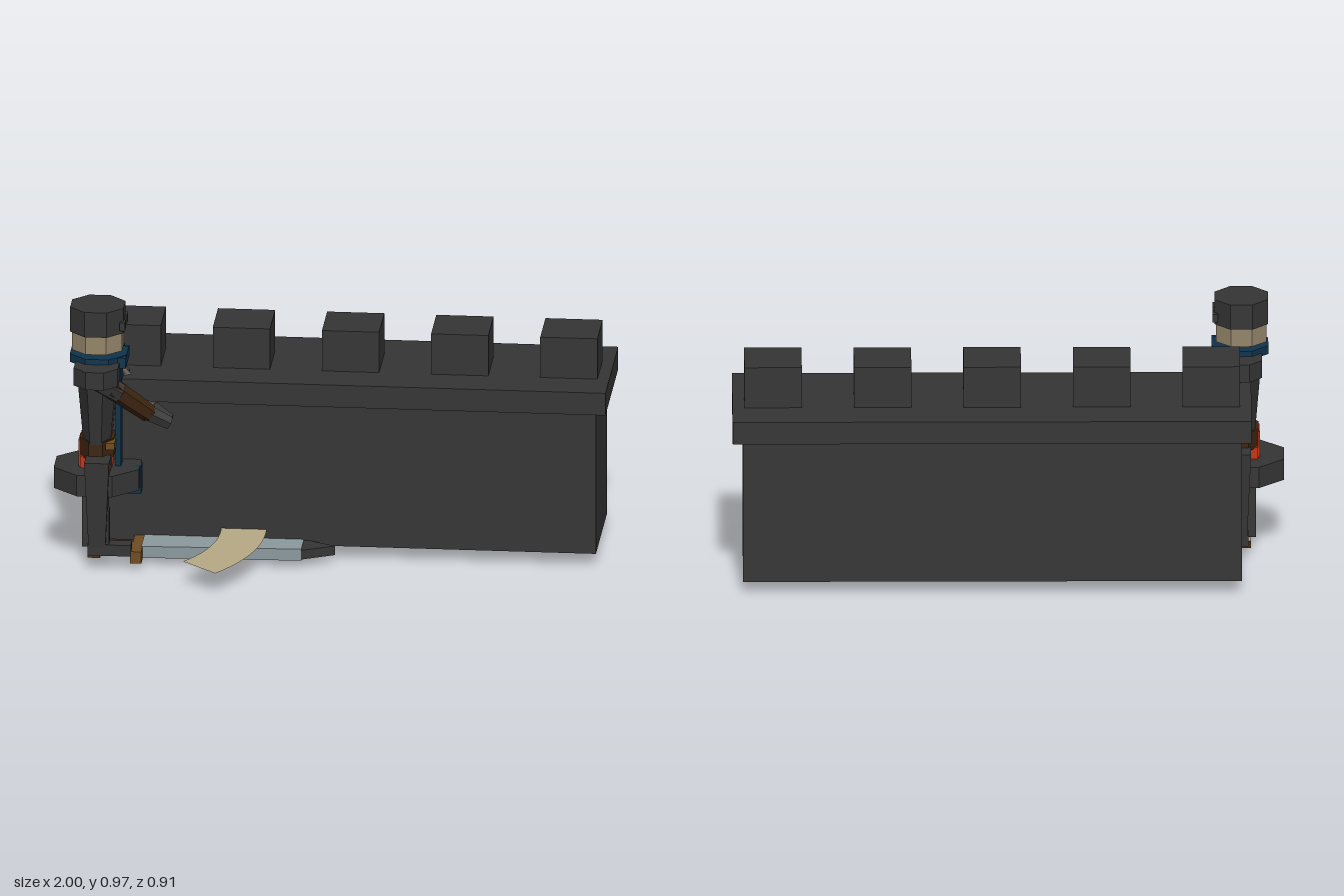
import * as THREE from 'three';

const mat = (name, color, double) => {
  const m = new THREE.MeshStandardMaterial({ color });
  m.name = name;
  m.flatShading = true;
  if (double) m.side = THREE.DoubleSide;
  return m;
};

export function createModel() {
  const stone = mat('charcoal', 0x353535);
  const skin = mat('skin', 0x94856a);
  const blue = mat('navy cloth', 0x0f334b);
  const leather = mat('dark leather', 0x3c2410);
  const bronze = mat('bronze', 0x704c20);
  const red = mat('red cloth', 0xc23412);
  const steel = mat('steel', 0x8b999d);
  const sand = mat('sand', 0xb5a783, true);

  const root = new THREE.Group();
  const group = (name, parent = root) => {
    const g = new THREE.Group();
    g.name = name;
    parent.add(g);
    return g;
  };
  const add = (parent, name, geo, material) => {
    const m = new THREE.Mesh(geo, material);
    m.name = name;
    parent.add(m);
    return m;
  };
  // Box from its limits on each axis
  const box = (parent, name, material, [x0, x1], [y0, y1], [z0, z1]) => {
    const m = add(parent, name, new THREE.BoxGeometry(x1 - x0, y1 - y0, z1 - z0), material);
    m.position.set((x0 + x1) / 2, (y0 + y1) / 2, (z0 + z1) / 2);
    return m;
  };
  // Upright faceted drum with flat faces along the axes; rx, rz are half widths
  const drum = (parent, name, material, x, z, y0, y1, rx, rz, taper = 1, sides = 8) => {
    const geo = new THREE.CylinderGeometry(1, taper, y1 - y0, sides);
    geo.rotateY(Math.PI / sides);
    const k = 1 / Math.cos(Math.PI / sides);
    geo.scale(rx * k, 1, rz * k);
    const m = add(parent, name, geo, material);
    m.position.set(x, (y0 + y1) / 2, z);
    return m;
  };
  // Tapered limb between two points
  const limb = (parent, name, material, a, b, ra, rb, sides = 6) => {
    const p = new THREE.Vector3(...a), q = new THREE.Vector3(...b);
    const dir = q.clone().sub(p);
    const m = add(parent, name, new THREE.CylinderGeometry(rb, ra, dir.length(), sides), material);
    m.position.copy(p).add(q).multiplyScalar(0.5);
    m.quaternion.setFromUnitVectors(new THREE.Vector3(0, 1, 0), dir.normalize());
    return m;
  };
  // Flat horizontal outline given as [x, z] points, extruded from y0 to y1
  const slab = (parent, name, material, pts, y0, y1) => {
    const shape = new THREE.Shape(pts.map(([x, z]) => new THREE.Vector2(x, -z)));
    const geo = new THREE.ExtrudeGeometry(shape, { depth: y1 - y0, bevelEnabled: false });
    geo.rotateX(-Math.PI / 2);
    const m = add(parent, name, geo, material);
    m.position.y = y0;
    return m;
  };

  // Battlement wall
  const wall = group('wall');
  box(wall, 'wallBody', stone, [-0.845, 0.962], [0.055, 0.6], [-0.43, 0.01]);
  box(wall, 'wallCap', stone, [-0.88, 1], [0.6, 0.685], [-0.465, 0.045]);
  for (let i = 0; i < 5; i++) {
    const x = -0.735 + i * 0.397;
    box(wall, 'merlon', stone, [x - 0.104, x + 0.104], [0.685, 0.84], [-0.314, -0.106]);
  }

  // Guard, facing +x
  const CX = -0.845, CZ = 0.06;
  const guard = group('guard');

  // Head
  drum(guard, 'face', skin, CX, CZ, 0.81, 0.88, 0.091, 0.088);
  drum(guard, 'helmet', stone, CX, CZ, 0.88, 0.975, 0.097, 0.098);
  for (const s of [-1, 1]) {
    const z = CZ + s * 0.039;
    box(guard, 'eyeGuard', stone, [-0.76, -0.741], [0.895, 0.926], [z - 0.024, z + 0.024]);
  }

  // Collar and torso
  drum(guard, 'collar', blue, -0.84, CZ, 0.765, 0.797, 0.103, 0.103);
  box(guard, 'collarFront', blue, [-0.8, -0.737], [0.755, 0.795], [-0.013, 0.133]);
  drum(guard, 'torso', stone, CX, CZ, 0.44, 0.77, 0.075, 0.135, 0.64);
  drum(guard, 'belt', leather, CX, CZ, 0.405, 0.475, 0.062, 0.09);
  box(guard, 'beltBand', bronze, [-0.81, -0.777], [0.445, 0.47], [-0.025, 0.145]);
  box(guard, 'hips', red, [-0.905, -0.79], [0.33, 0.41], [0, 0.12]);
  box(guard, 'backSash', red, [-0.912, -0.9], [0.36, 0.465], [0.02, 0.1]);
  box(guard, 'coatTail', stone, [-0.898, -0.855], [0.06, 0.36], [0.007, 0.113]);
  drum(guard, 'hipPlate', stone, CX, CZ, 0.285, 0.365, 0.155, 0.145);

  // Tabard: wide chest strip above, narrow tail below
  const strip = new THREE.Shape([
    [0.043, 0.745], [-0.043, 0.745], [-0.03, 0.425], [-0.026, 0.255], [0.026, 0.255], [0.03, 0.425],
  ].map(([z, y]) => new THREE.Vector2(z, y)));
  const stripGeo = new THREE.ExtrudeGeometry(strip, { depth: 0.02, bevelEnabled: false });
  stripGeo.rotateY(Math.PI / 2);
  const tabard = add(guard, 'tabard', stripGeo, blue);
  tabard.position.set(-0.778, 0, CZ);
  box(guard, 'tabardTail', blue, [-0.76, -0.685], [0.26, 0.365], [0.036, 0.088]);

  for (const s of [1, -1]) {
    const z = (d) => CZ + s * d;
    // Arms
    drum(guard, 'shoulderPlate', stone, -0.84, z(0.11), 0.71, 0.777, 0.08, 0.08);
    limb(guard, 'upperArm', stone, [-0.85, 0.73, z(0.112)], [-0.76, 0.665, z(0.085)], 0.045, 0.04);
    limb(guard, 'sleeve', leather, [-0.79, 0.69, z(0.095)], [-0.655, 0.57, z(0.028)], 0.04, 0.034);
    limb(guard, 'hand', stone, [-0.665, 0.575, z(0.03)], [-0.585, 0.53, z(0.01)], 0.033, 0.027);
    // Legs
    drum(guard, 'leg', stone, -0.835, z(0.118), 0.09, 0.42, 0.045, 0.048, 0.68, 4);
    drum(guard, 'shinPlate', stone, -0.825, z(0.118), 0.1, 0.23, 0.033, 0.022, 1, 4);
    box(guard, 'foot', stone, [-0.87, -0.712], [0.06, 0.102], [z(0.12) - 0.027, z(0.12) + 0.027]);
  }

  // Sword lying along the wall
  const sword = group('sword');
  limb(sword, 'pommel', bronze, [-0.88, 0.041, CZ], [-0.835, 0.041, CZ], 0.04, 0.04);
  limb(sword, 'grip', leather, [-0.84, 0.05, CZ], [-0.7, 0.05, CZ], 0.024, 0.024);
  box(sword, 'crossGuard', bronze, [-0.715, -0.675], [0.03, 0.075], [-0.07, 0.195]);
  slab(sword, 'blade', steel, [
    [-0.68, CZ - 0.08], [-0.68, CZ + 0.08], [-0.1, CZ + 0.058], [-0.1, CZ - 0.058],
  ], 0.033, 0.077);
  slab(sword, 'bladeTip', stone, [
    [-0.1, CZ - 0.06], [-0.1, CZ + 0.06], [0.018, CZ],
  ], 0.038, 0.073);

  // Curved strip sweeping out over the blade
  const arc = new THREE.RingGeometry(0.47, 0.635, 10, 1, -THREE.MathUtils.degToRad(40), THREE.MathUtils.degToRad(46));
  arc.rotateX(-Math.PI / 2);
  const sweep = add(root, 'curvedStrip', arc, sand);
  sweep.position.set(-0.87, 0.109, 0.04);
  sweep.rotation.x = 0.045;

  return root;
}
